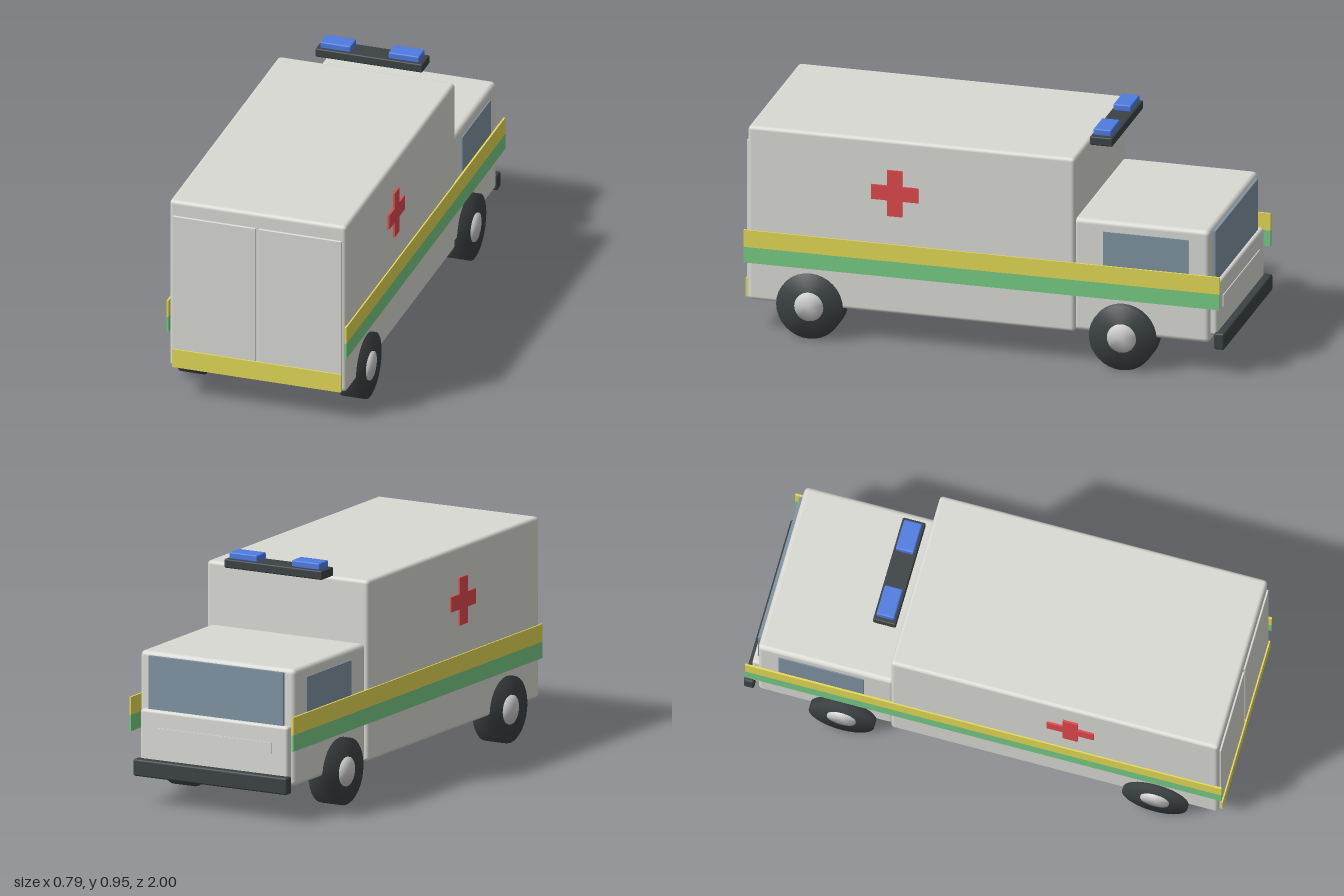
import * as THREE from 'three';
import { RoundedBoxGeometry } from 'three/addons/geometries/RoundedBoxGeometry.js';

const material = (name, color) => {
  const m = new THREE.MeshStandardMaterial({ color });
  m.name = name;
  return m;
};

export function createModel() {
  const group = new THREE.Group();
  const paint = material('body paint', 0xd9d9d4);
  const yellow = material('yellow', 0xe3d955);
  const green = material('green', 0x76cb84);
  const red = material('red', 0xe0484d);
  const glass = material('glass', 0x7f93a2);
  const blue = material('beacon blue', 0x4f7ce0);
  const dark = material('dark rubber', 0x3c4244);
  const metal = material('hub metal', 0xd0d0d0);

  const add = (name, geometry, mat) => {
    const mesh = new THREE.Mesh(geometry, mat);
    mesh.name = name;
    group.add(mesh);
    return mesh;
  };

  // Box given by its limits on each axis, with optionally rounded edges
  const block = (name, [x0, x1], [y0, y1], [z0, z1], mat, radius = 0) => {
    const size = [x1 - x0, y1 - y0, z1 - z0];
    const geometry = radius
      ? new RoundedBoxGeometry(...size, 3, radius)
      : new THREE.BoxGeometry(...size);
    geometry.translate((x0 + x1) / 2, (y0 + y1) / 2, (z0 + z1) / 2);
    return add(name, geometry, mat);
  };
  // Limits at a distance from the centre line, on either side
  const onSide = (side, a, b) => (side > 0 ? [a, b] : [-b, -a]);

  // Main bodies: the cab points to -z, the rear doors to +z
  block('patientBox', [-0.375, 0.375], [0.135, 0.88], [-0.38, 0.985], paint, 0.016);
  block('cab', [-0.36, 0.36], [0.138, 0.62], [-0.938, -0.37], paint, 0.02);
  block('nose', [-0.343, 0.343], [0.17, 0.387], [-0.966, -0.9], paint, 0.012);
  block('grille', [-0.27, 0.27], [0.27, 0.317], [-0.97, -0.963], paint);
  block('windshield', [-0.312, 0.312], [0.385, 0.605], [-0.95, -0.934], glass);
  block('bumper', [-0.357, 0.357], [0.115, 0.185], [-0.998, -0.955], dark, 0.008);

  // Rear doors and the strip below them
  for (const side of [-1, 1]) {
    block('rearDoor', onSide(side, 0.006, 0.358), [0.14, 0.815], [0.975, 0.993], paint, 0.003);
  }
  block('rearStrip', [-0.358, 0.358], [0.14, 0.22], [0.991, 0.999], yellow);

  // Light bar with two beacons
  block('lightBar', [-0.227, 0.227], [0.888, 0.925], [-0.495, -0.4], dark, 0.006);
  for (const side of [-1, 1]) {
    block('beacon', onSide(side, 0.08, 0.21), [0.924, 0.953], [-0.485, -0.41], blue, 0.006);
  }

  // Cross outline for the sides of the patient box
  const a = 0.031, b = 0.098;
  const cross = new THREE.Shape([
    [-a, -b], [a, -b], [a, -a], [b, -a], [b, a], [a, a],
    [a, b], [-a, b], [-a, a], [-b, a], [-b, -a], [-a, -a],
  ].map(([x, y]) => new THREE.Vector2(x, y)));
  const crossPlate = new THREE.ExtrudeGeometry(cross, { depth: 0.009, bevelEnabled: false });

  // Solid disc turned about the x axis, with soft shoulders
  const disc = (radius, half) => new THREE.LatheGeometry([
    new THREE.Vector2(0, -half), new THREE.Vector2(radius, -half),
    new THREE.Vector2(radius, half), new THREE.Vector2(0, half),
  ], 32).rotateZ(-Math.PI / 2);
  const tire = disc(0.137, 0.048);
  const hub = disc(0.06, 0.05);

  for (const side of [-1, 1]) {
    block('yellowStripe', onSide(side, 0.373, 0.381), [0.362, 0.435], [-0.985, 1], yellow);
    block('greenStripe', onSide(side, 0.373, 0.381), [0.295, 0.362], [-0.985, 1], green);
    block('sideWindow', onSide(side, 0.357, 0.365), [0.395, 0.575], [-0.85, -0.495], glass);

    const badge = add('cross', crossPlate, red);
    badge.rotation.y = side * Math.PI / 2;
    badge.position.set(side * 0.374, 0.655, 0.37);

    for (const z of [0.725, -0.58]) {
      add('tire', tire, dark).position.set(side * 0.343, 0.137, z);
      add('hub', hub, metal).position.set(side * 0.347, 0.137, z);
    }
  }

  return group;
}
